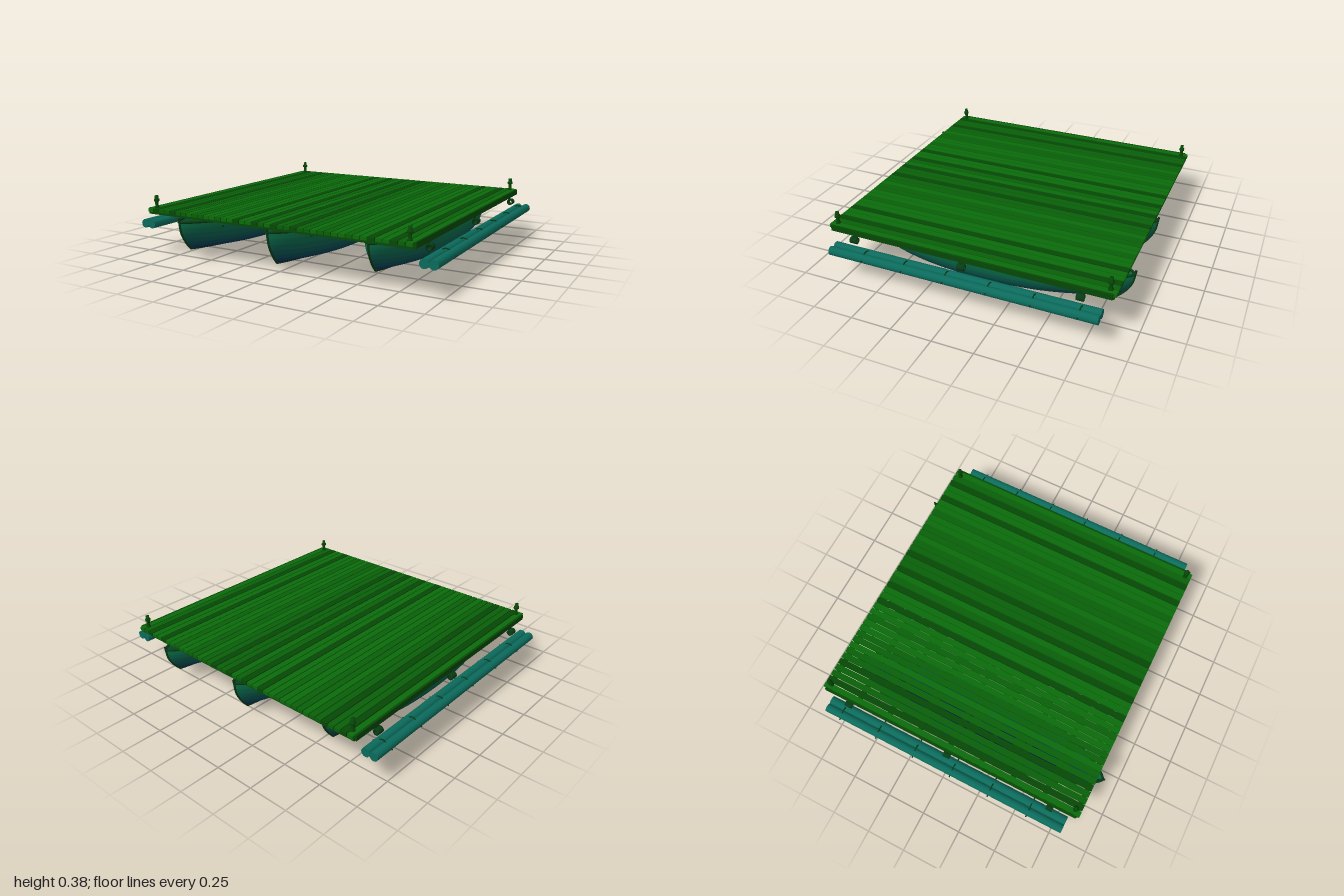
import * as THREE from 'three';

const mat = (color, side = THREE.FrontSide) => new THREE.MeshStandardMaterial({ color, side });
const deckGreen = mat(0x0a6a0a), midGreen = mat(0x086008), darkGreen = mat(0x064806);
const trimGreen = mat(0x073c14, THREE.DoubleSide), teal = mat(0x0b6b5c);
const BANDS = 8;
const hullMats = Array.from({ length: BANDS }, (_, i) => mat(
  new THREE.Color(0x00005c).lerp(new THREE.Color(0x0a7048), i / (BANDS - 1)), THREE.DoubleSide));

function add(parent, name, geometry, material, x = 0, y = 0, z = 0) {
  const m = new THREE.Mesh(geometry, material);
  m.name = name;
  m.position.set(x, y, z);
  parent.add(m);
  return m;
}

const tube = (points, r, n = 48) =>
  new THREE.TubeGeometry(new THREE.CatmullRomCurve3(points), n, r, 6);

// Double-ended round-bottomed boat, open on top
function makeBoat(name, length, halfWidth, keelY) {
  const boat = new THREE.Group();
  boat.name = name;
  const breadth = t => halfWidth * Math.pow(Math.max(0, 1 - Math.abs(t) ** 2.8), 0.8);
  // t runs along the boat (-1..1), a runs from one gunwale (-PI/2) over the keel to the other
  const point = (t, a) => {
    const c = Math.max(0, Math.cos(a));
    const bottom = keelY + 0.05 * t * t, sheer = 0.222 + 0.03 * t * t;
    const s = Math.sign(a) * Math.abs(Math.sin(a)) ** (0.68 + 0.5 * t * t);
    return new THREE.Vector3(breadth(t) * s, bottom + (sheer - bottom) * (1 - c),
      t * (length / 2 - 0.09 * c * c));
  };
  const rows = 32, cols = 48, pos = [], index = [];
  const geo = new THREE.BufferGeometry();
  for (let j = 0; j <= rows; j++)
    for (let i = 0; i <= cols; i++)
      pos.push(...point(Math.sin((i / cols - 0.5) * Math.PI), (j / rows - 0.5) * Math.PI).toArray());
  for (let j = 0; j < rows; j++) {
    const level = Math.abs(j + 0.5 - rows / 2) / (rows / 2);
    geo.addGroup(index.length, cols * 6, Math.floor(level * BANDS));
    for (let i = 0; i < cols; i++) {
      const p = j * (cols + 1) + i, q = p + cols + 1;
      index.push(p, q, p + 1, q, q + 1, p + 1);
    }
  }
  geo.setAttribute('position', new THREE.Float32BufferAttribute(pos, 3));
  geo.setIndex(index);
  geo.computeVertexNormals();
  add(boat, 'hullShell', geo, hullMats);

  // Keel and the two stem posts
  const ts = Array.from({ length: 21 }, (_, i) => -1 + i / 10);
  add(boat, 'keel', tube(ts.map(t => point(t, 0)), 0.007), trimGreen);
  for (const e of [-1, 1]) {
    const stem = [0, 0.4, 0.8, 1.2, Math.PI / 2].map(a => point(e, a));
    stem.push(new THREE.Vector3(0, 0.275, e * (length / 2 + 0.004)));
    add(boat, 'stemPost', tube(stem, 0.007, 20), trimGreen);
  }
  // Gunwales and rubbing strakes
  const fine = Array.from({ length: 33 }, (_, i) => Math.sin((i / 32 - 0.5) * Math.PI));
  for (const s of [-1, 1])
    add(boat, 'gunwale', tube(fine.map(t => point(t, s * Math.PI / 2)), 0.008, 64), trimGreen);
  // Thwarts
  for (const t of [-0.7, -0.35, 0, 0.35, 0.7])
    add(boat, 'thwart', new THREE.BoxGeometry(1.9 * breadth(t), 0.012, 0.06), darkGreen,
      0, 0.2, t * length / 2);
  return boat;
}

// Planked deck on cross beams
function makeDeck() {
  const deck = new THREE.Group();
  deck.name = 'deck';
  const count = 41, pitch = 1.75 / count;
  const plank = new THREE.BoxGeometry(pitch - 0.006, 0.02, 1.755);
  const tones = [deckGreen, midGreen, deckGreen, darkGreen, midGreen];
  for (let i = 0; i < count; i++)
    add(deck, 'plank', plank, tones[(i * 3 + (i >> 2)) % 5],
      -0.875 + (i + 0.5) * pitch, 0.295, -0.008);
  for (let i = 0; i < 9; i++)
    add(deck, 'crossBeam', new THREE.BoxGeometry(1.75, 0.016, 0.03), darkGreen,
      0, 0.278, -0.86 + i * 0.213);
  for (const s of [-1, 1])
    add(deck, 'edgeBeam', new THREE.BoxGeometry(0.014, 0.034, 1.72), darkGreen, s * 0.877, 0.288, -0.008);

  // Mooring posts in the corners
  const profile = [[0, 0], [0.015, 0], [0.015, 0.008], [0.01, 0.012], [0.01, 0.04], [0.017, 0.044],
    [0.017, 0.056], [0.011, 0.06], [0.011, 0.078], [0, 0.08]].map(p => new THREE.Vector2(...p));
  const post = new THREE.LatheGeometry(profile, 16);
  for (const x of [-0.84, 0.84])
    for (const z of [-0.845, 0.83])
      add(deck, 'mooringPost', post, darkGreen, x, 0.302, z);
  return deck;
}

// Pair of floating logs with lashings, and the ring fenders that hang above them
function makeSideFloat(s) {
  const float = new THREE.Group();
  float.name = s > 0 ? 'leftSideFloat' : 'rightSideFloat';
  const log = new THREE.CylinderGeometry(0.027, 0.027, 1.64, 16).rotateX(Math.PI / 2);
  for (const x of [0.91, 0.963]) add(float, 'log', log, teal, s * x, 0.19, -0.008);
  const loop = new THREE.TorusGeometry(0.032, 0.004, 6, 20);
  const pin = new THREE.CylinderGeometry(0.004, 0.004, 0.126, 8).rotateZ(Math.PI / 2);
  for (let i = 0; i < 6; i++) {
    const z = -0.72 + i * 0.261;
    add(float, 'lashing', loop, trimGreen, s * 0.937, 0.19, z);
    add(float, 'lashingPin', pin, trimGreen, s * 0.937, 0.19, z);
  }
  const ring = new THREE.LatheGeometry([[0.012, -0.021], [0.02, -0.021], [0.02, 0.021],
    [0.012, 0.021], [0.012, -0.021]].map(p => new THREE.Vector2(...p)), 20).rotateX(Math.PI / 2);
  for (const z of [-0.7, -0.006, 0.69]) {
    add(float, 'ringFender', ring, trimGreen, s * 0.892, 0.248, z);
    add(float, 'fenderHanger', new THREE.BoxGeometry(0.008, 0.02, 0.03), trimGreen,
      s * 0.88, 0.27, z);
  }
  return float;
}

export function createModel() {
  const raft = new THREE.Group();
  raft.name = 'boatRaft';
  const boats = [
    ['rightBoat', 1.71, 0.2, 0.027, -0.598, 0.05],
    ['middleBoat', 1.75, 0.207, 0.008, -0.005, -0.015],
    ['leftBoat', 1.71, 0.193, 0.033, 0.59, -0.055],
  ];
  for (const [name, length, halfWidth, keelY, x, z] of boats) {
    const boat = makeBoat(name, length, halfWidth, keelY);
    boat.position.set(x, 0, z);
    raft.add(boat);
  }
  raft.add(makeDeck(), makeSideFloat(1), makeSideFloat(-1));
  return raft;
}
